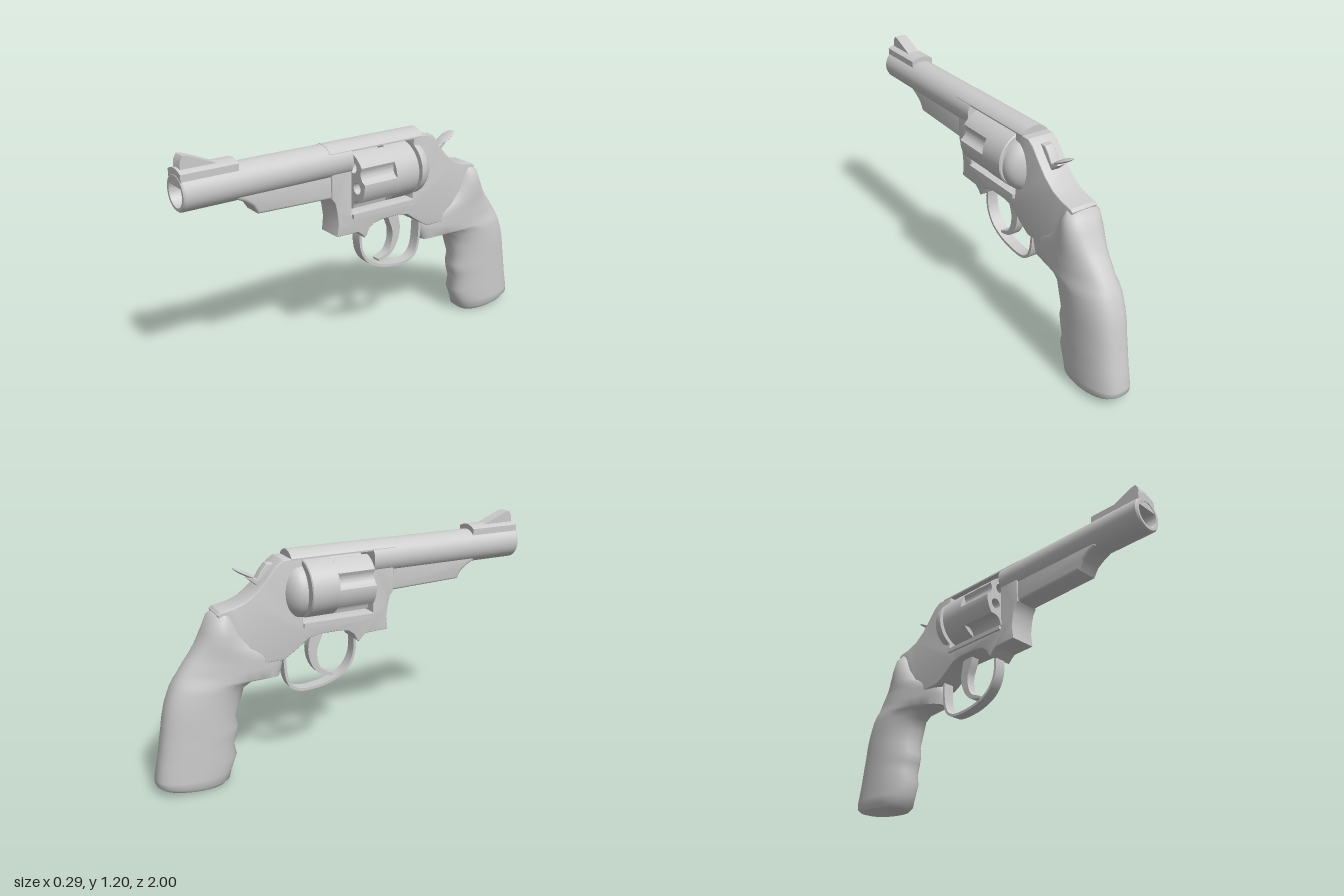
import * as THREE from 'three';
import { toCreasedNormals, mergeVertices } from 'three/addons/utils/BufferGeometryUtils.js';

const material = new THREE.MeshStandardMaterial({ color: 0xcccccc, side: THREE.DoubleSide });
const BARREL_Y = 1.04, BARREL_R = 0.086, DRUM_Y = 0.928, DRUM_R = 0.145;
const vectors = (list) => list.map(([a, b]) => new THREE.Vector2(a, b));

export function createModel() {
  const model = new THREE.Group();

  function add(name, geometry, crease = 0.6) {
    const mesh = new THREE.Mesh(crease ? toCreasedNormals(geometry, crease) : geometry, material);
    mesh.name = name;
    model.add(mesh);
    return mesh;
  }

  // Side outline in (z, y), extruded symmetrically across x
  function plate(outline, halfWidth, bevel = 0) {
    const g = new THREE.ExtrudeGeometry(new THREE.Shape(outline), {
      depth: 2 * (halfWidth - bevel), bevelEnabled: bevel > 0, bevelSize: bevel,
      bevelThickness: bevel, bevelOffset: -bevel, bevelSegments: 3, curveSegments: 8,
    });
    return g.translate(0, 0, bevel - halfWidth).rotateY(-Math.PI / 2);
  }

  // Curved strip in the side plane; half thickness runs from t0 to t1
  function ribbon(path, t0, t1, halfWidth, bevel) {
    const curve = new THREE.SplineCurve(vectors(path));
    const a = [], b = [];
    for (let i = 0; i <= 36; i++) {
      const u = i / 36, p = curve.getPoint(u), d = curve.getTangent(u);
      const n = new THREE.Vector2(-d.y, d.x).multiplyScalar(t0 + (t1 - t0) * u);
      a.push(p.clone().add(n));
      b.unshift(p.clone().sub(n));
    }
    return plate([...a, ...b], halfWidth, bevel);
  }

  // Cross-section in (x, y), extruded from z0 to z1
  const along = (shape, z0, z1) => new THREE.ExtrudeGeometry(shape,
    { depth: z1 - z0, bevelEnabled: false, curveSegments: 24 }).translate(0, 0, z0);

  // Profile in (radius, z), turned about the z axis at height y
  const turned = (profile, y) => new THREE.LatheGeometry(vectors(profile), 48)
    .rotateX(Math.PI / 2).translate(0, y, 0);

  // Strip with a rounded top, concentric with the barrel
  function cap(radius, halfWidth, bottom, z0, z1) {
    const a = Math.asin(halfWidth / radius), s = new THREE.Shape();
    s.moveTo(-halfWidth, bottom);
    s.lineTo(halfWidth, bottom);
    s.absarc(0, BARREL_Y, radius, Math.PI / 2 - a, Math.PI / 2 + a, false);
    return along(s, z0, z1);
  }

  // Barrel, underlug, top strap and front sight
  add('barrel', turned([[0, 0.135], [BARREL_R, 0.135], [BARREL_R, 0.992], [0.08, 1],
    [0.066, 1], [0.062, 0.99], [0.062, 0.5], [0, 0.5]], BARREL_Y));
  add('underlug', plate(vectors([[0.74, 0.97], [0.70, 0.95], [0.665, 0.925], [0.638, 0.882],
    [0.2, 0.868], [0.2, 1.0], [0.74, 1.0]]), 0.062, 0.014));
  add('topStrap', cap(0.0875, 0.07, 1.085, -0.3, 0.26));
  add('sightBase', cap(0.111, 0.06, 1.07, 0.725, 0.998));
  add('frontSight', plate(vectors([[0.985, 1.13], [0.982, 1.18], [0.968, 1.203], [0.945, 1.2],
    [0.82, 1.148], [0.76, 1.13]]), 0.032));

  // Frame, open around the cylinder; the strap closes it on top
  add('frame', plate(vectors([[0.25, 1.04], [0.25, 0.87], [0.232, 0.845], [0.222, 0.80],
    [0.214, 0.74], [0.222, 0.672], [0.1, 0.668], [0.075, 0.65], [0.058, 0.63], [0.045, 0.64],
    [0.03, 0.672], [0, 0.694], [-0.05, 0.703], [-0.16, 0.703], [-0.215, 0.69], [-0.27, 0.65],
    [-0.315, 0.62], [-0.35, 0.6], [-0.5, 0.6], [-0.63, 0.75], [-0.67, 0.87], [-0.655, 0.882],
    [-0.59, 0.893], [-0.53, 0.915], [-0.47, 0.96], [-0.42, 1.015], [-0.375, 1.07], [-0.34, 1.092],
    [-0.245, 1.092], [-0.245, 0.772], [0.135, 0.772], [0.135, 1.04]]), 0.07, 0.006), 0.5);
  const ledge = new THREE.BoxGeometry(0.165, 0.022, 0.38);
  add('frameLedge', ledge.translate(0, 0.76, -0.055));
  const shield = [[0, -0.245]];
  for (let i = 0; i <= 10; i++) {
    const a = (i / 10) * Math.PI / 2;
    shield.unshift([0.142 * Math.cos(a), -0.258 - 0.087 * Math.sin(a)]);
    if (i === 0) shield.splice(1, 0, [0.142, -0.245]);
  }
  add('recoilShield', turned(shield, DRUM_Y));

  // Cylinder with five chambers and five flutes between them
  const STEP = Math.PI * 2 / 5, FIRST = Math.PI / 10;
  const outline = [];
  for (let i = 0; i < 180; i++) {
    const a = FIRST + (i / 180) * Math.PI * 2;
    const off = ((i % 36) / 36 + (i % 36 > 18 ? -1 : 0)) * STEP;
    const d = 0.166, s = 0.046, across = d * Math.sin(off);
    const scoop = Math.abs(across) < s ? d * Math.cos(off) - Math.sqrt(s * s - across * across) : 1;
    const r = Math.min(DRUM_R, scoop);
    outline.push(new THREE.Vector2(r * Math.cos(a), DRUM_Y + r * Math.sin(a)));
  }
  const fluted = new THREE.Shape(outline);
  for (let i = 0; i < 5; i++) {
    const a = FIRST + (i + 0.5) * STEP;
    const hole = new THREE.Path();
    hole.absarc(0.088 * Math.cos(a), DRUM_Y + 0.088 * Math.sin(a), 0.028, 0, Math.PI * 2, true);
    fluted.holes.push(hole);
  }
  add('cylinderFront', along(fluted, -0.082, 0.115));
  add('cylinderRear', turned([[0, -0.225], [0.14, -0.225], [DRUM_R, -0.22], [DRUM_R, -0.082],
    [0, -0.082]], DRUM_Y));

  // Trigger guard, trigger and hammer
  add('triggerGuard', ribbon([[0.05, 0.665], [0.055, 0.6], [0.042, 0.53], [0.0, 0.47],
    [-0.07, 0.432], [-0.15, 0.413], [-0.24, 0.41], [-0.295, 0.436], [-0.32, 0.49],
    [-0.328, 0.56], [-0.33, 0.64]], 0.007, 0.007, 0.03));
  add('trigger', ribbon([[-0.15, 0.73], [-0.158, 0.68], [-0.176, 0.61], [-0.166, 0.54],
    [-0.13, 0.485], [-0.065, 0.46]], 0.038, 0.006, 0.024));
  add('hammer', plate(vectors([[-0.35, 1.04], [-0.375, 1.072], [-0.405, 1.072], [-0.43, 1.045],
    [-0.455, 1.005], [-0.49, 1.022], [-0.5, 1.01], [-0.46, 0.975], [-0.44, 0.95], [-0.36, 0.98]]),
    0.024, 0.004));
  const spur = new THREE.SphereGeometry(1, 20, 12).scale(0.036, 0.009, 0.062);
  add('hammerSpur', spur.rotateX(0.5).translate(0, 1.034, -0.512), 0);

  // Grip: slices given as front z, front y, back z, back y, half width
  const slices = [
    [-0.66, 0.005, -0.975, 0.03, 0.098], [-0.635, 0.025, -0.998, 0.05, 0.112],
    [-0.622, 0.07, -0.998, 0.08, 0.113], [-0.592, 0.14, -0.98, 0.17, 0.113],
    [-0.605, 0.195, -0.968, 0.23, 0.113], [-0.588, 0.245, -0.96, 0.28, 0.113],
    [-0.577, 0.295, -0.951, 0.33, 0.113], [-0.588, 0.35, -0.942, 0.385, 0.113],
    [-0.562, 0.42, -0.927, 0.45, 0.113], [-0.54, 0.485, -0.9, 0.52, 0.113],
    [-0.48, 0.513, -0.88, 0.557, 0.113], [-0.355, 0.506, -0.862, 0.585, 0.113],
    [-0.338, 0.56, -0.845, 0.61, 0.113], [-0.338, 0.61, -0.815, 0.65, 0.113],
    [-0.37, 0.637, -0.79, 0.68, 0.113], [-0.47, 0.68, -0.762, 0.72, 0.113],
    [-0.548, 0.755, -0.728, 0.78, 0.11], [-0.58, 0.825, -0.698, 0.845, 0.1],
    [-0.6, 0.866, -0.67, 0.866, 0.075]];
  const N = 40, positions = [], index = [];
  for (const [zf, yf, zb, yb, w] of slices) {
    for (let j = 0; j < N; j++) {
      const a = (j / N) * Math.PI * 2, c = Math.cos(a), s = Math.sin(a);
      const t = (1 - c) / 2, z = zf + (zb - zf) * t;
      const taper = 0.7 + 0.3 * THREE.MathUtils.smoothstep(-z, 0.42, 0.72);
      positions.push(w * taper * Math.sign(s) * Math.pow(Math.abs(s), 0.75), yf + (yb - yf) * t, z);
    }
  }
  for (let i = 0; i < slices.length - 1; i++) {
    for (let j = 0; j < N; j++) {
      const a = i * N + j, b = i * N + (j + 1) % N;
      index.push(a, b, a + N, b, b + N, a + N);
    }
  }
  const last = (slices.length - 1) * N;
  for (let j = 1; j < N - 1; j++) {
    index.push(0, j + 1, j, last, last + j, last + j + 1);
  }
  const grip = new THREE.BufferGeometry();
  grip.setAttribute('position', new THREE.Float32BufferAttribute(positions, 3));
  grip.setIndex(index);
  add('grip', mergeVertices(grip), 0.9);

  return model;
}
